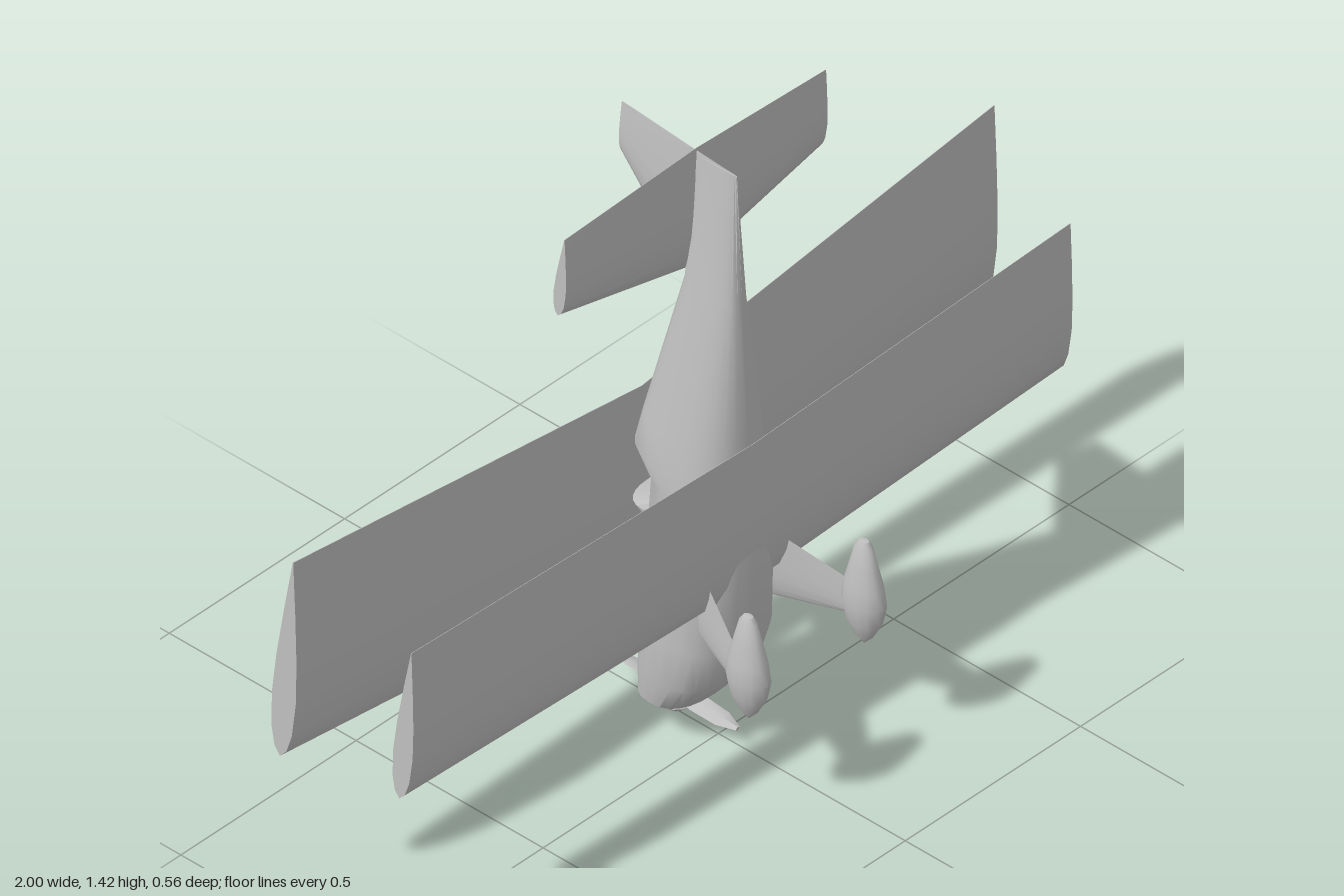
import * as THREE from 'three';
import { toCreasedNormals } from 'three/addons/utils/BufferGeometryUtils.js';

const V = (x, y, z) => new THREE.Vector3(x, y, z);

// Closed skin through equal-length rings, capped at both ends, faces pointing out
function loft(rings, crease = 0.6) {
  const n = rings[0].length, tris = [];
  const add = (a, b, c) => tris.push([a, b, c]);
  for (let i = 0; i + 1 < rings.length; i++) {
    for (let j = 0; j < n; j++) {
      const k = (j + 1) % n, A = rings[i], B = rings[i + 1];
      add(A[j], A[k], B[k]);
      add(A[j], B[k], B[j]);
    }
  }
  const first = rings[0], last = rings[rings.length - 1];
  for (let j = 1; j + 1 < n; j++) {
    add(first[0], first[j + 1], first[j]);
    add(last[0], last[j], last[j + 1]);
  }
  const volume = tris.reduce((s, [a, b, c]) => s + a.dot(V().crossVectors(b, c)), 0);
  const pos = [];
  for (const [a, b, c] of tris) {
    if (V().crossVectors(b.clone().sub(a), c.clone().sub(a)).lengthSq() < 1e-14) continue;
    for (const p of volume < 0 ? [a, c, b] : [a, b, c]) pos.push(p.x, p.y, p.z);
  }
  const geo = new THREE.BufferGeometry();
  geo.setAttribute('position', new THREE.Float32BufferAttribute(pos, 3));
  return toCreasedNormals(geo, crease);
}

// Symmetrical aerofoil outline as [chord position, offset] pairs
const FOIL = [[0, 0], [0.04, 0.5], [0.13, 0.85], [0.3, 1], [0.5, 0.84], [0.75, 0.46], [1, 0.02]];
const OUTLINE = [...FOIL, ...FOIL.slice(1).reverse().map(([t, h]) => [t, -h])];

// Section from leading edge (y0, z0) to trailing edge (y1, z1), at a given x
const wingRing = (x, y0, z0, y1, z1, half) => OUTLINE.map(([t, h]) =>
  V(x, y0 + (y1 - y0) * t, z0 + (z1 - z0) * t + h * half));

// Mirrored surface from a root section and a tip section
const wing = (tipX, root, tip) =>
  loft([wingRing(-tipX, ...tip), wingRing(0, ...root), wingRing(tipX, ...tip)]);

// Rounded-square body section between belly and back
function bodyRing([y, belly, back, halfWidth]) {
  const ring = [], n = 24, mid = (belly + back) / 2, r = (belly - back) / 2;
  const round = v => Math.sign(v) * Math.pow(Math.abs(v), 0.8);
  for (let i = 0; i < n; i++) {
    const a = i / n * Math.PI * 2;
    ring.push(V(halfWidth * round(Math.cos(a)), y, mid + r * round(Math.sin(a))));
  }
  return ring;
}

export function createModel() {
  const grey = new THREE.MeshStandardMaterial({ color: 0xbfbfbf });
  grey.name = 'light grey';
  const model = new THREE.Group();
  model.name = 'biplane';
  const part = (name, geo, parent = model) => {
    const mesh = new THREE.Mesh(geo, grey);
    mesh.name = name;
    parent.add(mesh);
    return mesh;
  };

  // Fuselage, nose down: y, belly z, back z, half width
  part('fuselage', loft([
    [0.055, -0.075, -0.14, 0.065],
    [0.093, -0.01, -0.156, 0.108],
    [0.165, 0.05, -0.154, 0.122],
    [0.27, 0.085, -0.149, 0.122],
    [0.46, 0.094, -0.14, 0.115],
    [0.625, 0.087, -0.13, 0.107],
    [0.68, 0.084, -0.182, 0.103],
    [0.76, 0.08, -0.163, 0.094],
    [1.1, 0.064, -0.08, 0.034],
    [1.4, 0.05, -0.055, 0.003],
  ].map(bodyRing)));

  // Windscreen wedge ahead of the cockpit
  part('windscreen', loft([
    [0.505, -0.06, -0.134, 0.08],
    [0.535, -0.06, -0.183, 0.085],
    [0.555, -0.06, -0.13, 0.08],
  ].map(bodyRing), 0.3));

  // Wings: leading y, z, trailing y, z, half thickness
  part('upperWing', wing(1, [0.255, -0.243, 0.75, -0.205, 0.033], [0.385, -0.235, 0.88, -0.2, 0.032]));
  part('lowerWing', wing(0.94, [0.385, 0.058, 0.76, 0.09, 0.025], [0.385, 0.028, 0.76, 0.06, 0.026]));

  // Tail surfaces
  part('tailplane', wing(0.373, [1.11, -0.08, 1.415, -0.058, 0.018], [1.2, -0.08, 1.395, -0.062, 0.016]));
  const finRing = (z, y0, y1, half) => OUTLINE.map(([t, h]) => V(h * half, y0 + (y1 - y0) * t, z));
  part('fin', loft([
    finRing(0.045, 1.11, 1.401, 0.006),
    finRing(-0.08, 1.1, 1.41, 0.018),
    finRing(-0.258, 1.305, 1.425, 0.009),
  ]));

  // Spinner and two-bladed propeller
  const spinner = [[0, 0], [0.018, 0.01], [0.037, 0.028], [0.034, 0.034], [0.016, 0.042], [0.016, 0.07]]
    .map(([r, y]) => new THREE.Vector2(r, y));
  part('spinner', toCreasedNormals(new THREE.LatheGeometry(spinner, 12), 0.6)).position.z = -0.11;
  const bladeRing = (s, chord, twist) => [[1, 0], [0, 0.004], [-1, 0], [0, -0.004]].map(([u, w]) =>
    V(u * chord, 0.049 - s * 0.06 + w + u * chord * twist, -0.11 + s));
  part('propeller', loft([
    bladeRing(-0.162, 0.006, -0.15),
    bladeRing(-0.12, 0.02, -0.2),
    bladeRing(-0.05, 0.02, -0.35),
    bladeRing(0, 0.012, 0),
    bladeRing(0.05, 0.02, 0.35),
    bladeRing(0.12, 0.02, 0.2),
    bladeRing(0.162, 0.006, 0.15),
  ]));

  // Landing gear legs and teardrop wheel fairings
  const fairing = [[0, 0.255], [0.45, 0.28], [0.82, 0.315], [1, 0.36], [0.9, 0.4], [0.66, 0.445], [0.4, 0.495], [0.22, 0.508], [0, 0.51]]
    .map(([r, y]) => new THREE.Vector2(r, y));
  for (const side of [1, -1]) {
    const gear = new THREE.Group();
    gear.name = side > 0 ? 'leftGear' : 'rightGear';
    model.add(gear);
    const legRing = (x, z, y0, y1) => OUTLINE.map(([t, h]) =>
      V(side * (x + h * 0.007), y0 + (y1 - y0) * t, z));
    part('leg', loft([legRing(0.095, 0.04, 0.315, 0.48), legRing(0.157, 0.195, 0.315, 0.4)]), gear);
    const pod = new THREE.LatheGeometry(fairing, 14).scale(0.035, 1, 0.053);
    pod.translate(side * 0.165, 0, 0.235);
    part('wheelFairing', toCreasedNormals(pod, 0.7), gear);
  }

  return model;
}
